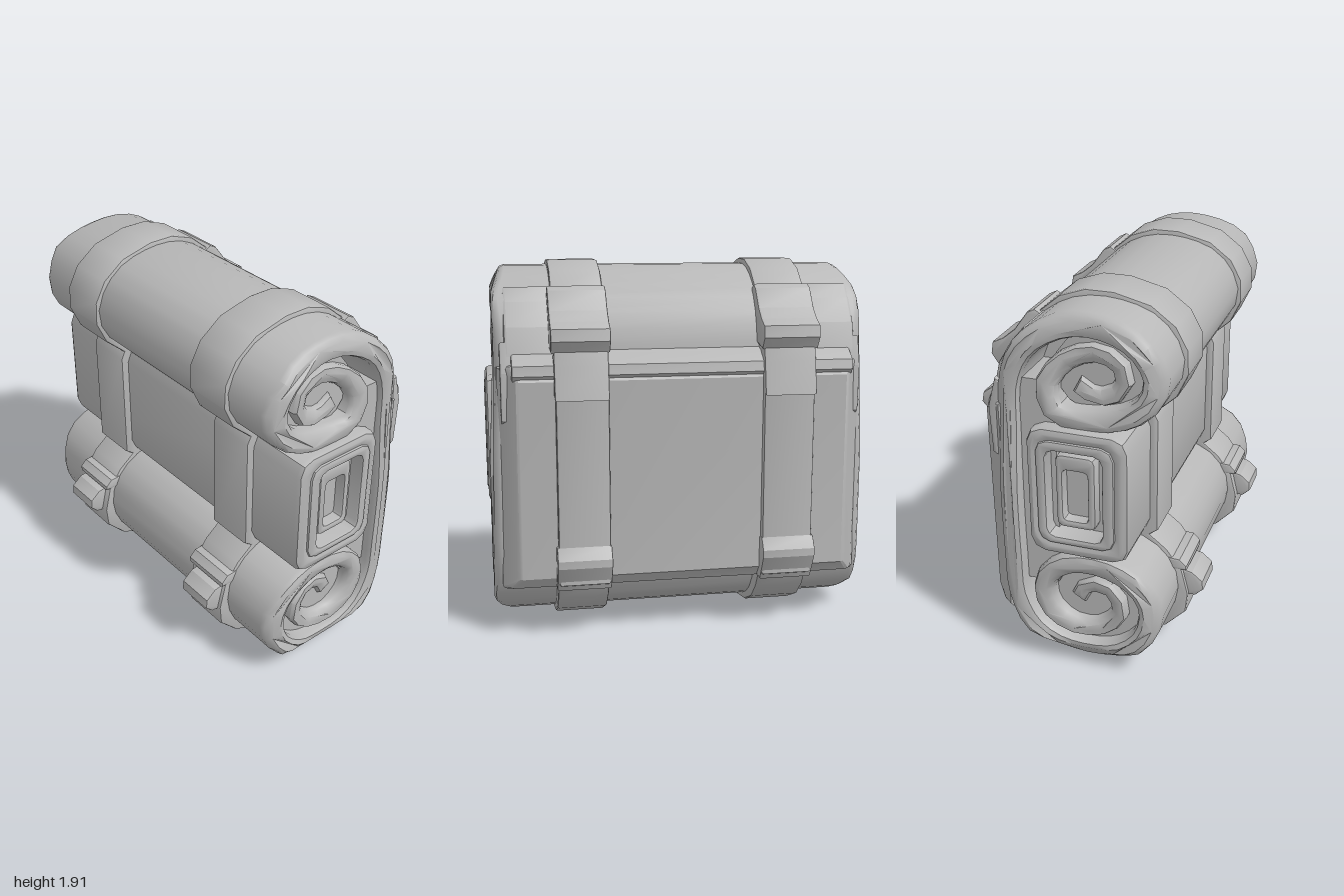
import * as THREE from 'three';
import { toCreasedNormals } from 'three/addons/utils/BufferGeometryUtils.js';

const V = (p) => new THREE.Vector2(p[0], p[1]);
const ramp = THREE.MathUtils.smoothstep;

export function createModel() {
  const group = new THREE.Group();
  const canvas = new THREE.MeshStandardMaterial({ color: 0xb8b8b8 });
  canvas.name = 'grey canvas';

  // Extrude a (z, y) outline sideways from x0 to x1, with a bevel kept inside the outline;
  // an optional rule(y, z) scales the width
  function slab(name, outline, x0, x1, { bevel = 0.02, hole = null, crease = 0.7, rule = null } = {}) {
    const shape = new THREE.Shape(outline.map(V));
    if (hole) shape.holes.push(new THREE.Path(hole.map(V)));
    let geo = new THREE.ExtrudeGeometry(shape, {
      depth: x1 - x0 - 2 * bevel, bevelEnabled: bevel > 0, bevelThickness: bevel,
      bevelSize: bevel, bevelOffset: -bevel, bevelSegments: 2,
    });
    geo.translate(0, 0, bevel);
    geo.rotateY(-Math.PI / 2);
    geo.translate(x1, 0, 0);
    if (rule) {
      const p = geo.attributes.position;
      for (let i = 0; i < p.count; i++) p.setX(i, p.getX(i) * rule(p.getY(i), p.getZ(i)));
    }
    geo = toCreasedNormals(geo, crease);
    const mesh = new THREE.Mesh(geo, canvas);
    mesh.name = name;
    group.add(mesh);
  }

  // Rectangle with cut corners
  const cutRect = (z0, z1, y0, y1, c) => [
    [z0 + c, y0], [z1 - c, y0], [z1 - c * 0.3, y0 + c * 0.3], [z1, y0 + c],
    [z1, y1 - c], [z1 - c * 0.3, y1 - c * 0.3], [z1 - c, y1], [z0 + c, y1],
    [z0 + c * 0.3, y1 - c * 0.3], [z0, y1 - c], [z0, y0 + c], [z0 + c * 0.3, y0 + c * 0.3],
  ];
  const ellipse = (cz, cy, rz, ry, n = 16) => Array.from({ length: n }, (_, i) => {
    const a = (i / n) * Math.PI * 2;
    return [cz + rz * Math.cos(a), cy + ry * Math.sin(a)];
  });

  // Blanket: one thick sheet scrolled at the top and at the bottom, flat down the back
  const upper = [
    [0.0, 1.54], [0.1, 1.49], [0.22, 1.55], [0.21, 1.65], [0.1, 1.7], [-0.05, 1.65], [-0.14, 1.53],
    [-0.1, 1.4], [0.08, 1.38], [0.25, 1.42], [0.36, 1.51], [0.385, 1.63], [0.29, 1.77], [0.1, 1.83],
    [-0.08, 1.815], [-0.24, 1.71], [-0.32, 1.55], [-0.335, 1.25],
  ];
  const lower = [
    [-0.335, 0.6], [-0.32, 0.36], [-0.22, 0.18], [-0.01, 0.09], [0.2, 0.12], [0.34, 0.24], [0.375, 0.4],
    [0.31, 0.53], [0.15, 0.605], [-0.05, 0.59], [-0.17, 0.48], [-0.16, 0.33], [-0.04, 0.23], [0.11, 0.24],
    [0.21, 0.35], [0.16, 0.46], [0.04, 0.46], [-0.01, 0.38],
  ];
  const curve = new THREE.CatmullRomCurve3([...upper, ...lower].map((p) => new THREE.Vector3(p[0], p[1], 0)));
  const sideA = [], sideB = [], N = 90;
  for (let i = 0; i <= N; i++) {
    const u = i / N, p = curve.getPointAt(u), t = curve.getTangentAt(u);
    const h = 0.042 + 0.016 * Math.min(1, Math.min(u, 1 - u) / 0.2);
    sideA.push([p.x - t.y * h, p.y + t.x * h]);
    sideB.push([p.x + t.y * h, p.y - t.x * h]);
  }
  // Ends taper at the outer rims and sink towards the middle of each scroll
  const blanketEnds = (y, z) => {
    const d = Math.min(Math.hypot(z - 0.08, y - 1.6), Math.hypot(z - 0.05, y - 0.36));
    return 1 - 0.03 * ramp(y, 0.9, 1.4) - 0.045 * ramp(y, 1.74, 1.89) - 0.07 * (1 - ramp(y, 0.03, 0.16))
      - 0.04 * ramp(z, 0.34, 0.44) - 0.05 * (1 - ramp(d, 0.08, 0.26)) - 0.02 * ramp(-z, 0.3, 0.4);
  };
  slab('scrolledBlanket', [...sideA, ...sideB.reverse()], -0.985, 0.985, { bevel: 0.034, rule: blanketEnds });

  // Fillings that close the gaps inside the scrolls
  slab('upperRollCore', ellipse(0.12, 1.6, 0.24, 0.21), -0.87, 0.87, { bevel: 0 });
  slab('lowerRollCore', ellipse(0.08, 0.35, 0.26, 0.24), -0.9, 0.9, { bevel: 0 });
  slab('backFilling', cutRect(-0.32, -0.1, 0.45, 1.55, 0.03), -0.92, 0.92, { bevel: 0 });

  // Middle bundle: nested folded layers with hollow ends
  const layers = [
    [[-0.23, 0.28, 0.665, 1.34, 0.08], [-0.17, 0.2, 0.74, 1.27, 0.06], 0.995, 0.03],
    [[-0.18, 0.21, 0.73, 1.28, 0.06], [-0.13, 0.15, 0.77, 1.23, 0.04], 1.0, 0.014],
    [[-0.1, 0.1, 0.8, 1.19, 0.03], [-0.065, 0.06, 0.84, 1.11, 0.02], 0.95, 0.014],
  ];
  layers.forEach(([o, h, x, bevel], i) =>
    slab('bundleLayer' + (i + 1), cutRect(...o), -x, x, { bevel, hole: cutRect(...h) }));
  slab('bundleCore', cutRect(-0.2, 0.22, 0.72, 1.29, 0.06), -0.89, 0.89, { bevel: 0 });

  // Flat pack against the back, narrower at its rear face, with a lip along its top
  slab('backPanel', [[-0.36, 0.25], [-0.43, 0.27], [-0.48, 0.33], [-0.49, 1.34], [-0.45, 1.42], [-0.36, 1.42]],
    -0.94, 0.94, { bevel: 0.02, crease: 0.4, rule: (y, z) => 1 - 0.09 * ramp(-z, 0.38, 0.49) });
  slab('backLip', [[-0.34, 1.36], [-0.47, 1.34], [-0.5, 1.37], [-0.49, 1.42], [-0.42, 1.47], [-0.34, 1.5]],
    -0.87, 0.87, { bevel: 0.012, crease: 0.4 });

  // Strap outline around the whole load
  const strap = [
    [0.3, 1.33], [0.41, 1.43], [0.465, 1.55], [0.46, 1.67], [0.4, 1.78], [0.28, 1.87], [0.1, 1.915],
    [-0.04, 1.915], [-0.17, 1.87], [-0.29, 1.77], [-0.4, 1.6], [-0.44, 1.42], [-0.52, 1.36], [-0.52, 0.3],
    [-0.43, 0.26], [-0.39, 0.19], [-0.3, 0.1], [-0.15, 0.03], [0.02, 0], [0.2, 0.03], [0.37, 0.11],
    [0.475, 0.22], [0.485, 0.33], [0.45, 0.47], [0.37, 0.58], [0.28, 0.65], [0.32, 0.68], [0.32, 1.29],
  ];

  for (const s of [-1, 1]) {
    const side = s > 0 ? 'left' : 'right';
    const pair = (part, outline, a, b, opt) =>
      slab(side + part, outline, Math.min(s * a, s * b), Math.max(s * a, s * b), { crease: 0.4, bevel: 0.01, ...opt });

    pair('Strap', strap, 0.395, 0.66, { bevel: 0.012, crease: 0.6 });

    // Front buckle: keeper bar and folded tongue
    pair('FrontKeeper', [[0.36, 0.54], [0.44, 0.535], [0.475, 0.5], [0.475, 0.475], [0.36, 0.475]], 0.39, 0.665);
    pair('FrontTongue', [[0.42, 0.47], [0.5, 0.455], [0.555, 0.41], [0.56, 0.36], [0.52, 0.32], [0.44, 0.31]],
      0.435, 0.64);

    // Upper back buckle with its hanging tab
    pair('BackBuckle', [[-0.25, 1.77], [-0.29, 1.795], [-0.33, 1.775], [-0.4, 1.68], [-0.46, 1.63], [-0.52, 1.6],
      [-0.53, 1.54], [-0.49, 1.48], [-0.38, 1.5]], 0.385, 0.68);
    pair('BackTab', [[-0.42, 1.52], [-0.49, 1.5], [-0.51, 1.42], [-0.54, 1.25], [-0.5, 1.25], [-0.42, 1.36]],
      0.395, 0.665);

    // Lower back buckle
    pair('LowerBackBuckle', [[-0.42, 0.27], [-0.49, 0.265], [-0.525, 0.33], [-0.56, 0.4], [-0.56, 0.44],
      [-0.52, 0.5], [-0.45, 0.5]], 0.39, 0.67);

    // Folded corner of the back pack
    pair('CornerFlap', [[-0.34, 1.5], [-0.4, 1.53], [-0.44, 1.38], [-0.43, 1.14], [-0.4, 1.12], [-0.36, 1.3]],
      0.84, 0.925);
    // Loose fold of cloth between strap and roll end
    pair('TopFold', [[-0.21, 1.75], [-0.25, 1.79], [-0.31, 1.72], [-0.385, 1.6], [-0.42, 1.46], [-0.33, 1.46],
      [-0.3, 1.6]], 0.65, 0.9, { bevel: 0.015 });
  }
  return group;
}
